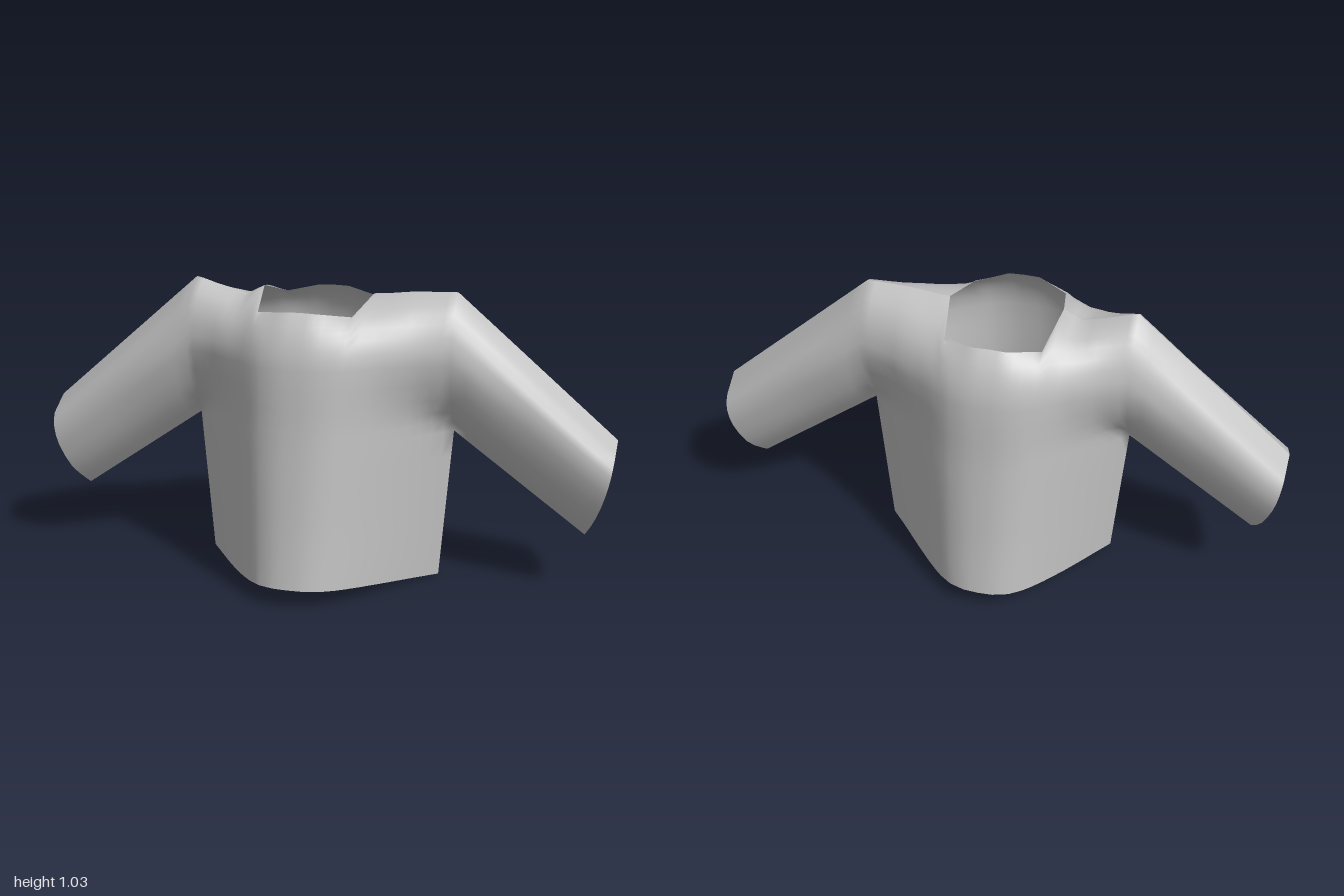
import * as THREE from 'three';
import { mergeGeometries, mergeVertices } from 'three/addons/utils/BufferGeometryUtils.js';

const { lerp, smoothstep } = THREE.MathUtils;

// Piecewise linear curve through [x, y] pairs
function curve(points, x) {
  if (x <= points[0][0]) return points[0][1];
  for (let i = 1; i < points.length; i++) {
    const [x0, y0] = points[i - 1], [x1, y1] = points[i];
    if (x <= x1) return lerp(y0, y1, (x - x0) / (x1 - x0));
  }
  return points[points.length - 1][1];
}

// Torso: depth by height, half width by height, and depth across the chest
const DEPTH = [[0, 0.415], [0.07, 0.41], [0.25, 0.383], [0.54, 0.348], [0.75, 0.325], [0.87, 0.305]];
const WIDTH = [[0, 0.417], [0.54, 0.457]];
const CHEST = [[0, 1], [0.13, 0.99], [0.25, 0.94], [0.37, 0.84], [0.5, 0.68], [0.65, 0.48], [0.85, 0.2], [1, 0]];
// Sleeve: half depth from top seam (0) to bottom seam (1)
const SLEEVE = [[0, 0], [0.15, 0.85], [0.25, 0.97], [0.36, 1], [0.5, 0.95], [0.65, 0.8], [0.78, 0.62], [0.9, 0.3], [1, 0]];
// Shoulder ridge by x, and the neckline by distance across the chest
const RIDGE = [[-0.455, 1.03], [-0.36, 1.0], [-0.28, 0.978], [-0.21, 1.015], [0.18, 1.0], [0.3, 1.015], [0.455, 1.02]];
const NECK_Z = [[0, 0.235], [0.12, 0.235], [0.35, 0.18], [0.42, 0]];
const NECK_Y = [[0, 0.975], [0.12, 0.973], [0.35, 0.957]];

const HALF = [0.06, 0.12, 0.18, 0.25, 0.3, 0.35, 0.42, 0.5, 0.57, 0.65, 0.73, 0.8, 0.87, 0.94, 1];
const ACROSS = [...HALF.map(u => -u).reverse(), 0, ...HALF];
const ARMPIT = 0.54, BEND = 0.8;
const LOWER = [0, 0.17, 0.34, 0.5, 0.67, 0.83, 1];
const MIDDLE = [0.58, 0.62, 0.67, 0.73, BEND];
const UPPER = [0.15, 0.3, 0.45, 0.6, 0.72, 0.84, 0.93, 1];

function torsoPoint(u, y) {
  const a = Math.abs(u);
  const x = -0.005 - 0.025 * (1 - u * u) + u * curve(WIDTH, y);
  const body = curve(DEPTH, y) * curve(CHEST, a);
  // the body swells into the sleeve above the armpit
  const arm = y > ARMPIT
    ? (0.135 + 0.05 * Math.min(1, (1 - a) / 0.35)) * curve(SLEEVE, (1.02 - y) / 0.48) : 0;
  return [x, y, Math.pow(body ** 4 + arm ** 4, 0.25)];
}

// One vertical strip line of the torso, from hem to neckline or shoulder
function torsoColumn(u) {
  const a = Math.abs(u);
  const hem = lerp(u < 0 ? 0.025 * a : 0, 0.07, curve(CHEST, a));
  const column = LOWER.map(t => torsoPoint(u, lerp(hem, ARMPIT, t)));
  MIDDLE.forEach(y => column.push(torsoPoint(u, y)));
  const [x, , z] = column[column.length - 1];
  const endZ = curve(NECK_Z, a);
  const endY = a < 0.42 ? lerp(curve(NECK_Y, a), curve(RIDGE, x), smoothstep(a, 0.35, 0.42)) : curve(RIDGE, x);
  const midY = lerp(0.97, 0.915, Math.min(1, endZ / 0.235));
  for (const t of UPPER) {
    const p = (1 - t) ** 2, q = 2 * t * (1 - t), r = t * t;
    column.push([x, p * BEND + q * midY + r * endY, p * z + q * z * 0.95 + r * endZ]);
  }
  return column;
}

// Sleeve strip lines, from the armhole to the cuff
function sleeveColumns(side) {
  const armhole = torsoColumn(side).slice(LOWER.length - 1);
  const top = armhole[armhole.length - 1], bottom = armhole[0];
  const cuffTop = [side, side > 0 ? 0.55 : 0.565], cuffBottom = [side * 0.912, side > 0 ? 0.203 : 0.228];
  const columns = [];
  for (let i = 0; i <= 10; i++) {
    const v = i / 10;
    columns.push(armhole.map(([ax, ay, az]) => {
      const t = (top[1] - ay) / (top[1] - bottom[1]);
      const bulge = side * 0.015 * Math.sin(Math.PI * t) * v * v;
      return [
        lerp(ax, lerp(cuffTop[0], cuffBottom[0], t) + bulge, v),
        lerp(ay, lerp(cuffTop[1], cuffBottom[1], t), v),
        lerp(az, 0.12 * curve(SLEEVE, t), smoothstep(v, 0, 0.6)),
      ];
    }));
  }
  return columns;
}

// Sheet through a list of columns, mirrored in z for the back
function sheet(columns, zSign, flip) {
  const rows = columns[0].length, positions = [], index = [];
  columns.forEach(c => c.forEach(([x, y, z]) => positions.push(x, y, z * zSign)));
  for (let i = 0; i < columns.length - 1; i++) {
    for (let j = 0; j < rows - 1; j++) {
      const a = i * rows + j, b = a + rows, c = b + 1, d = a + 1;
      if (flip) index.push(a, c, b, a, d, c);
      else index.push(a, b, c, a, c, d);
    }
  }
  const g = new THREE.BufferGeometry();
  g.setAttribute('position', new THREE.Float32BufferAttribute(positions, 3));
  g.setIndex(index);
  return g;
}

export function createModel() {
  const shirt = new THREE.Group();
  shirt.name = 'shirt';
  const cloth = new THREE.MeshStandardMaterial({ color: 0xc0c0c0, side: THREE.DoubleSide });
  cloth.name = 'grey cloth';

  // Front and back panels, each with its torso and both sleeve halves, meeting at sharp seams
  for (const [name, z] of [['frontPanel', 1], ['backPanel', -1]]) {
    const parts = [
      sheet(ACROSS.map(torsoColumn), z, z < 0),
      sheet(sleeveColumns(1), z, z < 0),
      sheet(sleeveColumns(-1), z, z > 0),
    ];
    const panel = mergeVertices(mergeGeometries(parts), 1e-4);
    panel.computeVertexNormals();
    const mesh = new THREE.Mesh(panel, cloth);
    mesh.name = name;
    shirt.add(mesh);
  }
  return shirt;
}
